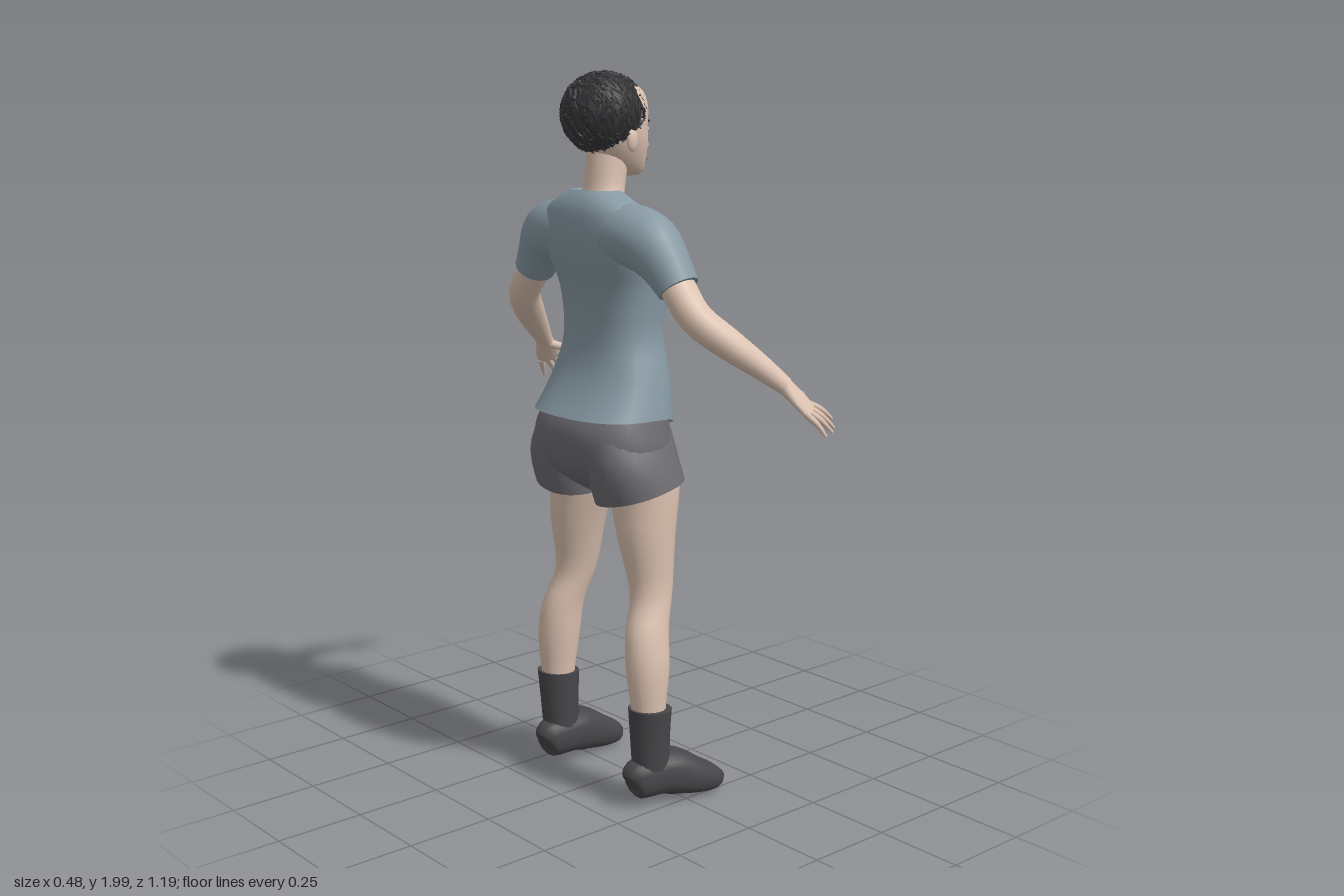
import * as THREE from 'three';
import { mergeGeometries } from 'three/addons/utils/BufferGeometryUtils.js';

const mat = (name, color) => Object.assign(new THREE.MeshStandardMaterial({ color }), { name });
const V = (x, y, z) => new THREE.Vector3(x, y, z);

// Catmull-Rom refinement of a table of cross-sections
function refine(rows, steps) {
  const out = [], at = i => rows[Math.min(Math.max(i, 0), rows.length - 1)];
  for (let i = 0; i < rows.length - 1; i++) for (let k = 0; k < steps; k++) {
    const t = k / steps, [a, b, c, d] = [at(i - 1), at(i), at(i + 1), at(i + 2)];
    out.push(b.map((p, j) => p + 0.5 * t * (c[j] - a[j] + t * (2 * a[j] - 5 * p + 4 * c[j] - d[j] + t * (3 * (p - c[j]) + d[j] - a[j])))));
  }
  out.push(rows.at(-1));
  return out;
}

// Closed skin through rows [x, y, z, radius along ref, radius across, exponent]
function loft(table, { ref = V(1, 0, 0), level = false, n = 20, steps = 3, power = 2, warp } = {}) {
  const rows = refine(table, steps), pos = [], idx = [];
  const centre = rows.map(r => V(r[0], r[1], r[2]));
  rows.forEach((r, i) => {
    const t = centre[Math.min(i + 1, rows.length - 1)].clone().sub(centre[Math.max(i - 1, 0)]).normalize();
    if (level) t.set(0, Math.sign(t.y), 0);
    const u = ref.clone().addScaledVector(t, -ref.dot(t)).normalize(), v = t.clone().cross(u);
    for (let j = 0; j < n; j++) {
      const a = j / n * Math.PI * 2, e = 2 / (r[5] ?? power);
      const f = q => Math.sign(q) * Math.abs(q) ** e;
      const p = centre[i].clone().addScaledVector(u, r[3] * f(Math.cos(a))).addScaledVector(v, r[4] * f(Math.sin(a)));
      if (warp) warp(p, a);
      pos.push(p.x, p.y, p.z);
    }
  });
  for (let i = 0; i < rows.length - 1; i++) for (let j = 0; j < n; j++) {
    const a = i * n + j, b = i * n + (j + 1) % n;
    idx.push(a, b, b + n, a, b + n, a + n);
  }
  // End caps with their own vertices
  for (const end of [0, rows.length - 1]) {
    const start = pos.length / 3, c = V(0, 0, 0);
    for (let j = 0; j < n; j++) {
      const k = (end * n + j) * 3;
      c.add(V(pos[k], pos[k + 1], pos[k + 2]));
      pos.push(pos[k], pos[k + 1], pos[k + 2]);
    }
    pos.push(c.x / n, c.y / n, c.z / n);
    for (let j = 0; j < n; j++) {
      const a = start + j, b = start + (j + 1) % n;
      end ? idx.push(start + n, a, b) : idx.push(start + n, b, a);
    }
  }
  const g = new THREE.BufferGeometry();
  g.setAttribute('position', new THREE.Float32BufferAttribute(pos, 3));
  g.setIndex(idx);
  g.computeVertexNormals();
  return g;
}

// Upright form from rows [y, back x, front x, half width]
const upright = (rows, opt) => loft(rows.map(([y, b, f, w]) => [(b + f) / 2, y, 0, (f - b) / 2, w]), { level: true, n: 32, ...opt });

export function createModel() {
  const root = new THREE.Group();
  const skin = mat('skin', 0xdcc2b1), cloth = mat('shirt blue grey', 0x8799a3), grey = mat('shorts grey', 0x6d6b70);
  const boot = mat('boot charcoal', 0x474649), hairMat = mat('hair black', 0x343437);
  const white = mat('eye white', 0xd8d2cc), dark = mat('eye dark', 0x3a2d28), lip = mat('lip', 0xa9796c);
  const add = (name, geo, m, parent = root) => {
    const mesh = new THREE.Mesh(geo, m);
    mesh.name = name;
    parent.add(mesh);
    return mesh;
  };

  // Shirt body, with bust, dipped front hem and scooped neckline
  add('shirtBody', upright([
    [1.085, -0.242, 0.065, 0.207], [1.14, -0.205, 0.062, 0.194], [1.21, -0.172, 0.057, 0.177], [1.3, -0.156, 0.053, 0.154],
    [1.42, -0.165, 0.06, 0.163], [1.5, -0.192, 0.04, 0.18], [1.57, -0.202, 0.01, 0.187],
    [1.63, -0.197, -0.02, 0.17], [1.665, -0.182, -0.04, 0.118], [1.685, -0.165, -0.048, 0.076]
  ], {
    power: 2.5, warp: (p, a) => {
      const front = Math.max(0, Math.cos(a)) ** 2;
      p.x += front * 0.024 * Math.exp(-(((Math.abs(p.z) - 0.075) / 0.055) ** 2) - ((p.y - 1.435) / 0.06) ** 2);
      if (p.y < 1.14) p.y -= 0.045 * front * (1.14 - p.y) / 0.055;
      if (p.y > 1.62) p.y -= 0.03 * front * (p.y - 1.62) / 0.065;
    }
  }), cloth);

  // Shorts seat
  add('shortsSeat', upright([
    [1.12, -0.2, 0.05, 0.185], [1.06, -0.238, 0.056, 0.2], [1.0, -0.24, 0.055, 0.212],
    [0.94, -0.222, 0.045, 0.2], [0.89, -0.17, 0.02, 0.12], [0.86, -0.12, -0.02, 0.04]
  ], { power: 2.4 }), grey);
  const fly = add('shortsFly', new THREE.BoxGeometry(0.008, 0.09, 0.02), grey);
  fly.position.set(0.056, 1.0, -0.008);

  // Neck and head
  add('neck', upright([
    [1.61, -0.15, -0.03, 0.09], [1.66, -0.145, -0.038, 0.07], [1.7, -0.137, -0.028, 0.058], [1.79, -0.13, -0.01, 0.056]
  ]), skin);
  add('head', upright([
    [1.718, -0.02, 0.032, 0.022], [1.735, -0.08, 0.045, 0.046], [1.77, -0.12, 0.046, 0.069], [1.81, -0.15, 0.046, 0.085],
    [1.85, -0.17, 0.043, 0.092], [1.9, -0.175, 0.044, 0.094], [1.94, -0.16, 0.028, 0.084], [1.97, -0.12, -0.01, 0.05]
  ]), skin);
  add('nose', loft([
    [0.036, 1.85, 0, 0.008, 0.008], [0.046, 1.82, 0, 0.012, 0.011], [0.053, 1.797, 0, 0.016, 0.017], [0.045, 1.785, 0, 0.01, 0.014]
  ], { level: true, n: 12 }), skin);

  // Thin rounded plate used for facial details
  const plate = (name, m, x, y, z, h, w, turn = 0) => {
    const o = add(name, new THREE.SphereGeometry(1, 14, 8), m);
    o.position.set(x, y, z);
    o.scale.set(0.0045, h, w);
    o.rotation.y = turn;
  };
  plate('upperLip', lip, 0.049, 1.761, 0, 0.005, 0.024);
  plate('lowerLip', lip, 0.049, 1.753, 0, 0.005, 0.019);

  // Hair: cap drawn in beneath the hairline, then small locks over it
  const hc = V(-0.085, 1.883, 0), hr = V(0.118, 0.107, 0.103);
  const bare = p => p.y < 1.775 || (p.x > -0.035 && p.y < 1.925 - 2.2 * Math.max(0, Math.abs(p.z) - 0.06) - 0.4 * (0.02 - p.x))
    || (p.x > -0.085 && p.y < 1.82);
  let seed = 7;
  const rnd = () => (seed = (seed * 16807) % 2147483647) / 2147483647;
  const cap = new THREE.SphereGeometry(1, 40, 28), cp = cap.attributes.position;
  for (let i = 0; i < cp.count; i++) {
    const d = V().fromBufferAttribute(cp, i), p = d.clone().multiply(hr).add(hc);
    const k = bare(p) ? 0.72 : 1 + 0.025 * Math.sin(d.x * 17 + d.y * 11) * Math.sin(d.z * 19 + d.y * 7);
    p.sub(hc).multiplyScalar(k).add(hc);
    cp.setXYZ(i, p.x, p.y, p.z);
  }
  cap.computeVertexNormals();
  add('hairCap', cap, hairMat);
  const locks = [];
  for (let i = 0; i < 420; i++) {
    const y = 1 - 2 * (i + 0.5) / 420, a = i * 2.39996, r = Math.sqrt(1 - y * y);
    const d = V(r * Math.cos(a), y, r * Math.sin(a)), p = d.clone().multiply(hr).add(hc);
    if (bare(p)) continue;
    const dir = V(rnd() - 0.5, -0.55 + 0.5 * (rnd() - 0.5), rnd() - 0.5);
    dir.addScaledVector(d, -dir.dot(d)).normalize().addScaledVector(d, 0.12).normalize();
    const side = dir.clone().cross(d).normalize(), out = side.clone().cross(dir);
    const g = new THREE.ConeGeometry(0.009, 0.045, 5);
    g.scale(1, 0.8 + 0.5 * rnd(), 0.55);
    g.applyMatrix4(new THREE.Matrix4().makeBasis(side, dir, out.negate().cross(V()).equals(V()) ? side.clone().cross(dir) : out).setPosition(p));
    locks.push(g);
  }
  add('hairLocks', mergeGeometries(locks), hairMat);

  for (const s of [1, -1]) {
    const side = s > 0 ? 'left' : 'right';
    const limb = (name, rows, m, opt = {}) =>
      add(side + name, loft(rows.map(([x, y, z, ...r]) => [x, y, z * s, ...r]), opt), m);

    // Face details
    plate(side + 'Eye', white, 0.037, 1.84, 0.034 * s, 0.007, 0.014, -0.4 * s);
    plate(side + 'Iris', dark, 0.039, 1.84, 0.034 * s, 0.006, 0.007, -0.4 * s);
    plate(side + 'Eyebrow', dark, 0.038, 1.862, 0.035 * s, 0.0035, 0.018, -0.4 * s);
    const ear = add(side + 'Ear', new THREE.SphereGeometry(1, 12, 10), skin);
    ear.position.set(-0.062, 1.815, 0.09 * s);
    ear.scale.set(0.018, 0.03, 0.01);

    // Sleeve and arm
    limb('Sleeve', [
      [-0.112, 1.575, 0.06, 0.08, 0.08], [-0.11, 1.572, 0.15, 0.085, 0.083], [-0.102, 1.55, 0.212, 0.08, 0.082],
      [-0.093, 1.502, 0.26, 0.068, 0.066], [-0.088, 1.447, 0.302, 0.058, 0.054]
    ], cloth);
    limb('Arm', [
      [-0.09, 1.53, 0.24, 0.048, 0.046], [-0.088, 1.445, 0.303, 0.049, 0.044], [-0.08, 1.375, 0.362, 0.046, 0.043],
      [-0.025, 1.315, 0.415, 0.044, 0.04], [0.045, 1.252, 0.467, 0.034, 0.031], [0.1, 1.2, 0.505, 0.025, 0.022]
    ], skin);

    // Hand
    const across = V(-0.05, -0.03, 0.04 * s).normalize();
    limb('Palm', [
      [0.092, 1.21, 0.498, 0.022, 0.022], [0.112, 1.183, 0.516, 0.03, 0.018],
      [0.13, 1.16, 0.531, 0.036, 0.015], [0.15, 1.132, 0.547, 0.034, 0.012]
    ], skin, { ref: across, n: 14 });
    [[0.238, 1.102, 0.543], [0.222, 1.084, 0.566], [0.2, 1.076, 0.582], [0.165, 1.072, 0.592]].forEach((tip, i) => {
      const k = (i - 1.5) * 0.0165;
      const base = [0.143 + across.x * k, 1.14 + across.y * k, 0.542 + across.z * s * k];
      const mid = base.map((b, j) => b * 0.45 + tip[j] * 0.55);
      mid[1] += 0.006;
      limb('Finger' + (i + 1), [[...base, 0.0095, 0.0095], [...mid, 0.0085, 0.0085], [...tip, 0.004, 0.004]], skin, { ref: across, n: 8 });
    });
    limb('Thumb', [
      [0.108, 1.19, 0.508, 0.014, 0.014], [0.155, 1.173, 0.486, 0.011, 0.011], [0.203, 1.163, 0.47, 0.005, 0.005]
    ], skin, { ref: V(0, 1, 0), n: 8 });

    // Shorts leg with slanted hem, then bare leg
    limb('ShortsLeg', [
      [-0.09, 1.04, 0.105, 0.13, 0.09], [-0.088, 0.96, 0.122, 0.134, 0.108], [-0.07, 0.878, 0.131, 0.119, 0.116]
    ], grey, {
      level: true, n: 28, power: 2.2, warp: p => {
        const k = THREE.MathUtils.clamp((0.96 - p.y) / 0.08, 0, 1);
        p.y += k * (0.16 * (Math.abs(p.z) - 0.13) + 0.22 * (p.x + 0.07));
      }
    });
    limb('Leg', [
      [-0.06, 0.96, 0.125, 0.1, 0.1], [-0.053, 0.88, 0.129, 0.096, 0.099], [-0.06, 0.75, 0.147, 0.081, 0.077],
      [-0.056, 0.6, 0.163, 0.062, 0.054], [-0.088, 0.5, 0.183, 0.064, 0.053], [-0.096, 0.4, 0.195, 0.064, 0.055],
      [-0.097, 0.28, 0.2, 0.05, 0.045], [-0.095, 0.2, 0.2, 0.045, 0.042]
    ], skin, { level: true });

    // Boot shaft and shoe
    limb('BootShaft', [
      [-0.094, 0.282, 0.203, 0.062, 0.058], [-0.092, 0.2, 0.201, 0.057, 0.053], [-0.088, 0.11, 0.2, 0.054, 0.05]
    ], boot, { level: true, warp: p => { if (p.y > 0.27) p.y -= 0.06 * (p.x + 0.09); } });
    limb('Shoe', [
      [-0.156, 0.075, 0.194, 0.03, 0.026], [-0.14, 0.08, 0.195, 0.053, 0.044], [-0.06, 0.086, 0.2, 0.061, 0.058],
      [-0.01, 0.078, 0.208, 0.064, 0.064], [0.055, 0.054, 0.216, 0.049, 0.07], [0.11, 0.038, 0.222, 0.035, 0.06],
      [0.142, 0.035, 0.225, 0.016, 0.032]
    ], boot, { ref: V(0, 1, 0), power: 2.5 });
  }
  return root;
}
